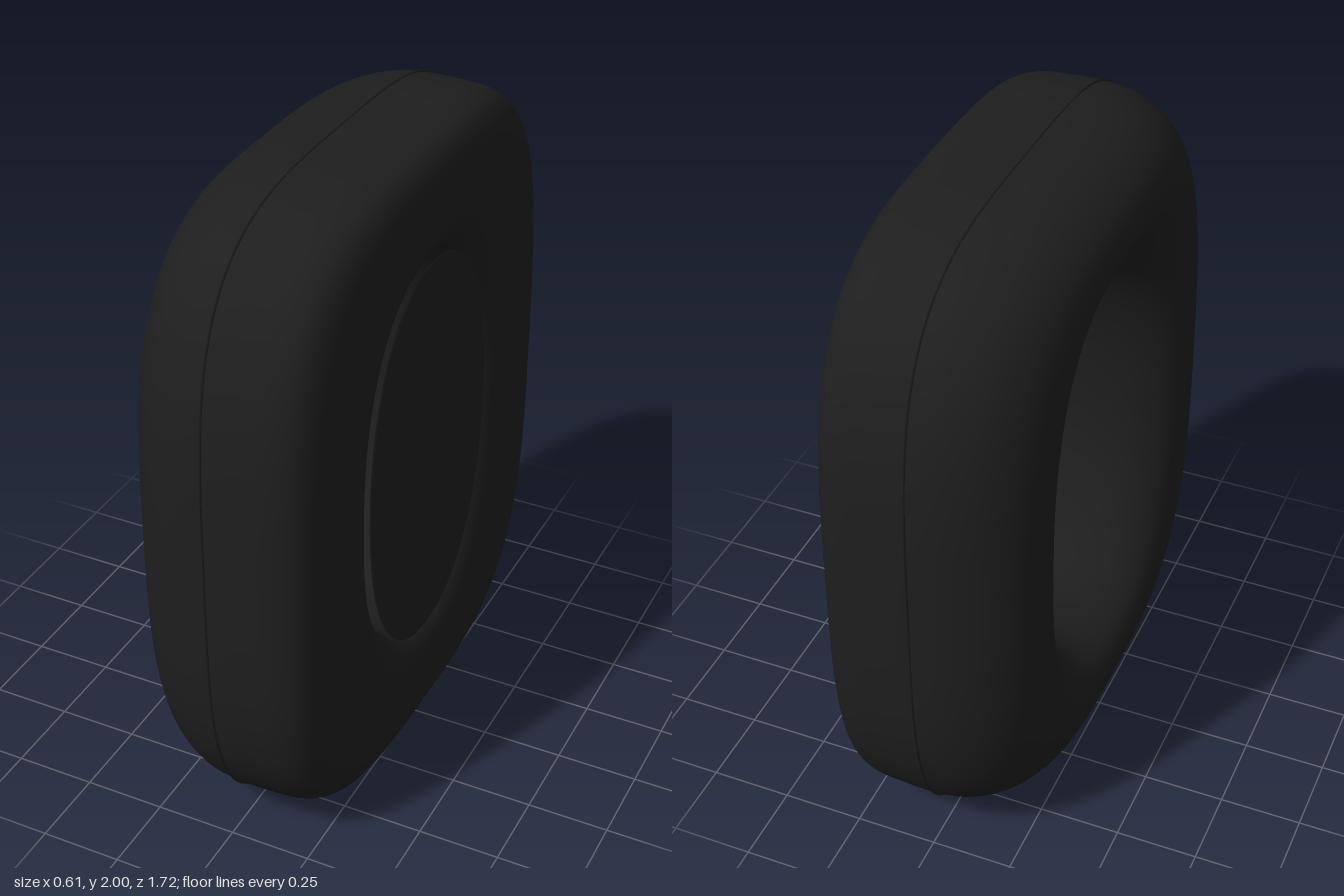
import * as THREE from 'three';

const CENTRE_Y = 1;

// Point on the oval of half width w; ovals get squarer outwards
function ovalPoint(x, w, scale, angle) {
  const k = (w - 0.4) / 0.46;
  const h = w + 0.23 - 0.09 * k;
  const p = 2 / (2.2 + 1.5 * Math.max(0, k));
  const c = Math.cos(angle), s = Math.sin(angle);
  return [
    x,
    CENTRE_Y + scale * h * Math.sign(s) * Math.abs(s) ** p,
    scale * w * Math.sign(c) * Math.abs(c) ** p,
  ];
}

// Surface swept around the ovals from a list of [x, half width, scale] points
function sweep(profile, segments) {
  const pos = [], index = [], n = profile.length;
  for (let i = 0; i < segments; i++) {
    const t = (i / segments) * Math.PI * 2;
    const angle = t - 0.12 * Math.sin(4 * t); // evens out the spacing
    for (const [x, w, scale = 1] of profile) pos.push(...ovalPoint(x, w, scale, angle));
  }
  for (let i = 0; i < segments; i++) {
    const a = i * n, b = ((i + 1) % segments) * n;
    for (let j = 0; j < n - 1; j++) {
      index.push(a + j, a + j + 1, b + j, b + j, a + j + 1, b + j + 1);
    }
  }
  const g = new THREE.BufferGeometry();
  g.setAttribute('position', new THREE.Float32BufferAttribute(pos, 3));
  g.setIndex(index);
  g.computeVertexNormals();
  return g;
}

export function createModel() {
  const model = new THREE.Group();
  const black = new THREE.MeshStandardMaterial({ color: 0x1e1e1e, side: THREE.DoubleSide });
  black.name = 'soft black';

  const add = (name, geometry) => {
    const mesh = new THREE.Mesh(geometry, black);
    mesh.name = name;
    model.add(mesh);
  };

  // Padded ring: outer wall, flat face, hole, rounded back
  const section = [
    [0, 0.854], [0.12, 0.853], [0.2, 0.846], [0.258, 0.82], [0.292, 0.768], [0.304, 0.7],
    [0.305, 0.57], [0.296, 0.48], [0.272, 0.43], [0.235, 0.4], [0.15, 0.387], [0, 0.388],
    [-0.12, 0.405], [-0.21, 0.437], [-0.275, 0.492], [-0.303, 0.56], [-0.304, 0.625],
    [-0.272, 0.715], [-0.2, 0.792], [-0.1, 0.84],
  ];
  const curve = new THREE.CatmullRomCurve3(
    section.map(([x, w]) => new THREE.Vector3(x, w, 0)), true
  );
  const smooth = curve.getPoints(80).map((p) => [THREE.MathUtils.clamp(p.x, -0.305, 0.305), p.y]);
  add('cushionRing', sweep(smooth, 144));

  // Thin raised seam around the middle
  const seam = [];
  for (let i = 0; i <= 8; i++) {
    const a = (i / 8) * Math.PI * 2;
    seam.push([0.004 * Math.sin(a), 0.855 + 0.005 * Math.cos(a)]);
  }
  add('seam', sweep(seam, 144));

  // Thin flat cover over the hole, with a softened rim
  const front = 0.287, back = 0.279;
  add('holeCover', sweep([[back, 0.4, 0], [back, 0.4], [front, 0.4], [front, 0.4, 0]], 96));

  return model;
}
